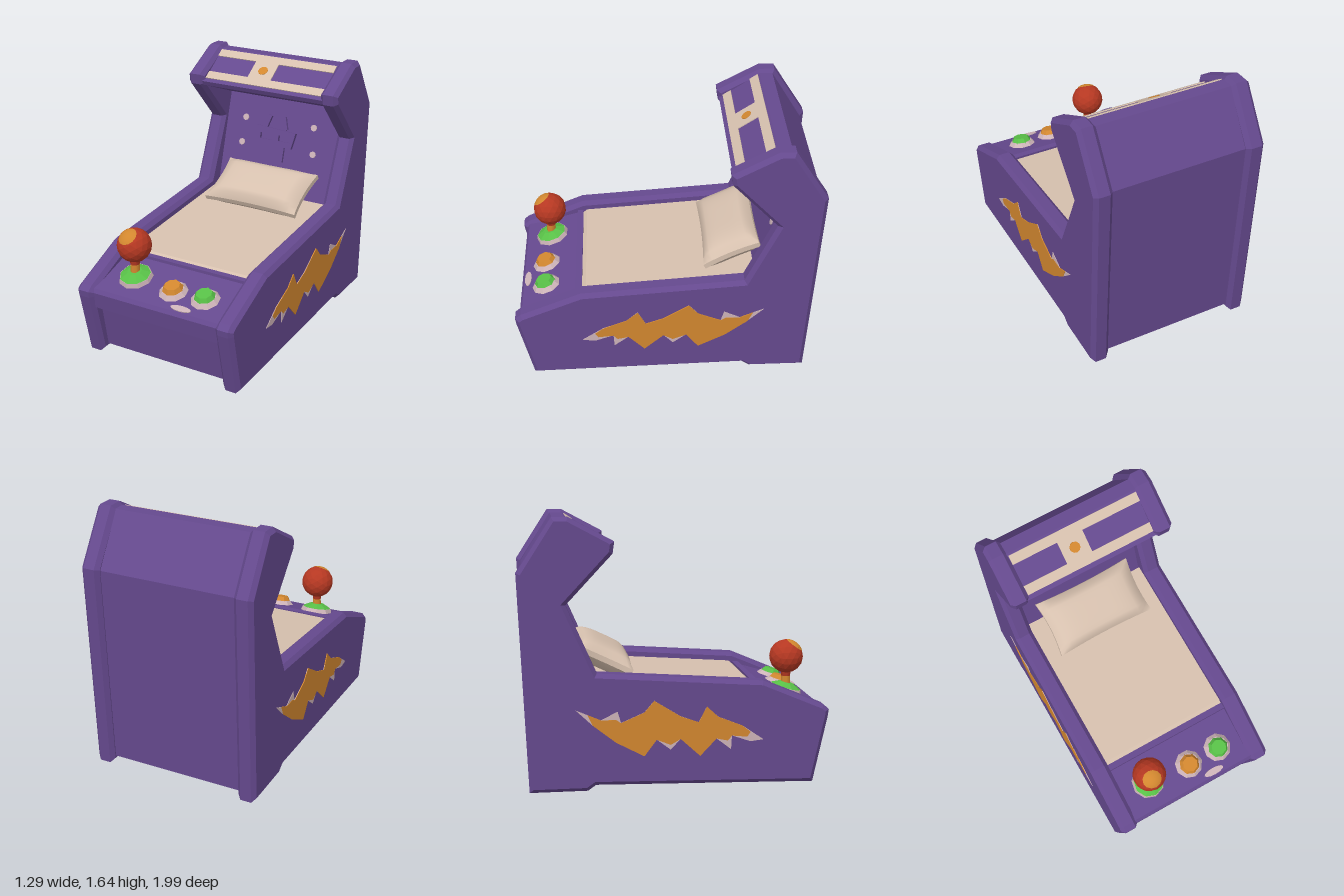
import * as THREE from 'three';

const mat = (name, color) => Object.assign(new THREE.MeshStandardMaterial({ color }), { name });

const V = (pts) => pts.map(([a, b]) => new THREE.Vector2(a, b));

// Extrudes a (z, y) side outline across x, centred on x = 0
function prism(pts, width, bevel = 0) {
  const depth = width - 2 * bevel;
  const g = new THREE.ExtrudeGeometry(new THREE.Shape(V(pts)), {
    depth, bevelEnabled: bevel > 0, bevelThickness: bevel, bevelSize: bevel, bevelOffset: -bevel, bevelSegments: 1,
  });
  return g.translate(0, 0, -depth / 2).rotateY(-Math.PI / 2);
}

function flat(g) {
  const n = g.index ? g.toNonIndexed() : g;
  n.computeVertexNormals();
  return n;
}

// Soft cushion: a box that thins towards its rim and pinches in at the sides
function cushion(w, h, d) {
  const g = new THREE.BoxGeometry(w, h, d, 16, 4, 12);
  const p = g.attributes.position;
  const unit = (t) => THREE.MathUtils.clamp(t, -1, 1);
  for (let i = 0; i < p.count; i++) {
    const u = unit((2 * p.getX(i)) / w), v = unit((2 * p.getZ(i)) / d);
    const puff = 0.2 + 0.8 * Math.sqrt((1 - u ** 4) * (1 - v ** 4));
    p.setXYZ(i, p.getX(i) * (0.95 + 0.05 * v * v), p.getY(i) * puff, p.getZ(i) * (0.93 + 0.07 * u * u));
  }
  g.computeVertexNormals();
  return g;
}

export function createModel() {
  const purple = mat('purple', 0x65498e);
  const cream = mat('cream', 0xd6c0ae);
  const orange = mat('orange', 0xd2872f);
  const red = mat('red', 0xb63822);
  const green = mat('green', 0x58c047);
  const pale = mat('pale', 0xcdb3b8);

  const root = new THREE.Group();
  root.name = 'cabinetBed';
  root.rotation.y = -0.105;

  const add = (parent, name, geo, material, x = 0, y = 0, z = 0) => {
    const m = new THREE.Mesh(geo, material);
    m.name = name;
    m.position.set(x, y, z);
    parent.add(m);
    return m;
  };
  const addGroup = (name, x, y, z, tilt) => {
    const g = new THREE.Group();
    g.name = name;
    g.position.set(x, y, z);
    g.rotation.x = tilt;
    root.add(g);
    return g;
  };

  // Side panels
  const side = [
    [0.85, 0.005], [0.94, 0.42], [0.945, 0.46], [0.91, 0.49], [0.53, 0.65], [-0.48, 0.72], [-0.66, 1.13],
    [-0.38, 1.43], [-0.37, 1.5], [-0.64, 1.645], [-0.735, 1.645], [-0.945, 1.32], [-0.89, 0], [-0.54, 0], [-0.49, 0.035],
  ];
  // Lightning flash outlines
  const flash = [
    [0.53, 0.29], [0.4, 0.38], [0.25, 0.44], [0.18, 0.505], [0.13, 0.41], [0.02, 0.45], [-0.14, 0.55], [-0.2, 0.48],
    [-0.34, 0.42], [-0.36, 0.49], [-0.46, 0.44], [-0.61, 0.505], [-0.51, 0.41], [-0.37, 0.3], [-0.2, 0.21], [-0.125, 0.31],
    [-0.04, 0.245], [0.02, 0.31], [0.14, 0.2], [0.24, 0.305], [0.33, 0.235], [0.335, 0.32], [0.45, 0.28],
  ];
  const inner = flash.map((p) => [...p]);
  inner[0] = [0.45, 0.34];
  inner[9] = [-0.37, 0.44];
  inner[11] = [-0.54, 0.475];
  inner[16] = [-0.04, 0.275];
  inner[20] = [0.31, 0.29];
  inner[22] = [0.43, 0.31];
  for (const s of [1, -1]) {
    const n = s > 0 ? 'left' : 'right';
    add(root, n + 'SidePanel', prism(side, 0.12, 0.025), purple, s * 0.49);
    add(root, n + 'FlashEdge', prism(flash, 0.006), pale, s * 0.55);
    add(root, n + 'Flash', prism(inner, 0.009), orange, s * 0.551);
  }

  // Central body: base, control deck, back wall and hood in one section
  add(root, 'body', prism([
    [0.80, 0.04], [0.85, 0.335], [0.905, 0.345], [0.92, 0.45], [0.905, 0.475], [0.55, 0.575], [0.53, 0.545],
    [-0.57, 0.63], [-0.76, 1.29], [-0.40, 1.425], [-0.385, 1.455], [-0.64, 1.625], [-0.72, 1.625],
    [-0.915, 1.31], [-0.86, 0.04],
  ], 0.9), purple);
  add(root, 'deckRidge', new THREE.BoxGeometry(0.88, 0.04, 0.04), purple, 0, 0.57, 0.545);

  // Mattress and pillow
  add(root, 'mattress', prism([
    [0.525, 0.53], [0.525, 0.575], [0.5, 0.595], [-0.56, 0.668], [-0.56, 0.6],
  ], 0.88), cream);
  const pillow = add(root, 'pillow', cushion(0.68, 0.17, 0.38), cream, 0, 0.765, -0.42);
  pillow.rotation.x = 0.45;

  // Hood sign: local y runs up the slope
  const sign = addGroup('sign', 0, 1.455, -0.385, -Math.atan2(0.255, 0.17));
  const plate = (name, x, y, w, h) => add(sign, name, new THREE.BoxGeometry(w, h, 0.006), cream, x, y, 0.003);
  plate('lowerStripe', 0, 0.06, 0.86, 0.06);
  plate('upperStripe', 0, 0.262, 0.86, 0.06);
  plate('signCentre', -0.05, 0.161, 0.17, 0.142);
  const dot = add(sign, 'signDot', new THREE.CylinderGeometry(0.034, 0.034, 0.008, 10), orange, -0.05, 0.16, 0.005);
  dot.rotation.x = Math.PI / 2;

  // Back wall decoration: raised face and pale dots
  const wall = addGroup('wallRelief', 0, 0.63, -0.57, -Math.atan2(0.19, 0.66));
  const head = new THREE.Shape(V([[-0.19, 0.36], [0.1, 0.36], [0.12, 0.47], [-0.19, 0.49]]));
  for (const x of [-0.1, 0.04]) {
    head.holes.push(new THREE.Path(V([[x - 0.045, 0.4], [x - 0.045, 0.44], [x + 0.045, 0.44], [x + 0.045, 0.4]])));
  }
  add(wall, 'reliefHead', new THREE.ExtrudeGeometry(head, { depth: 0.025, bevelEnabled: false }), purple);
  add(wall, 'reliefNeck', new THREE.BoxGeometry(0.16, 0.1, 0.04), purple, -0.035, 0.31, 0);
  for (const s of [1, -1]) {
    const a = add(wall, 'reliefAntenna', new THREE.BoxGeometry(0.03, 0.09, 0.04), purple, -0.04 + s * 0.065, 0.525, 0);
    a.rotation.z = s * 0.3;
  }
  for (const [x, y] of [[-0.285, 0.525], [0.24, 0.53], [-0.29, 0.35], [0.26, 0.35]]) {
    const d = add(wall, 'wallDot', new THREE.CylinderGeometry(0.023, 0.023, 0.008, 8), pale, x, y, 0.003);
    d.rotation.x = Math.PI / 2;
  }

  // Control deck: local y points out of the sloping deck
  const deck = addGroup('controls', 0, 0.527, 0.73, Math.atan2(0.1, 0.355));
  const button = (name, x, z, material) => {
    add(deck, name + 'Rim', flat(new THREE.CylinderGeometry(0.07, 0.092, 0.025, 9)), pale, x, 0.01, z);
    add(deck, name, flat(new THREE.CylinderGeometry(0.05, 0.072, 0.035, 8)), material, x, 0.032, z);
  };
  button('orangeButton', 0.046, 0.035, orange);
  button('greenButton', 0.266, 0.03, green);
  const mark = add(deck, 'deckMark', new THREE.CylinderGeometry(0.07, 0.07, 0.006, 12), pale, 0.17, 0.001, 0.155);
  mark.scale.z = 0.32;

  // Joystick
  add(deck, 'stickRim', flat(new THREE.CylinderGeometry(0.1, 0.11, 0.03, 9)), pale, -0.244, 0.01, 0.005);
  add(deck, 'stickBase', flat(new THREE.CylinderGeometry(0.045, 0.1, 0.028, 9)), green, -0.244, 0.038, 0.005);
  add(root, 'stickLower', new THREE.CylinderGeometry(0.028, 0.032, 0.08, 8), orange, -0.244, 0.59, 0.74);
  add(root, 'stickUpper', new THREE.CylinderGeometry(0.036, 0.028, 0.06, 8), red, -0.244, 0.645, 0.74);
  add(root, 'stickBall', flat(new THREE.IcosahedronGeometry(0.107, 2)), red, -0.244, 0.745, 0.74);
  const cap = add(root, 'ballHighlight', new THREE.SphereGeometry(0.108, 12, 4, 0, Math.PI * 2, 0, 0.6), orange, -0.244, 0.745, 0.74);
  cap.quaternion.setFromUnitVectors(new THREE.Vector3(0, 1, 0), new THREE.Vector3(-0.12, 0.78, 0.55).normalize());

  return root;
}
